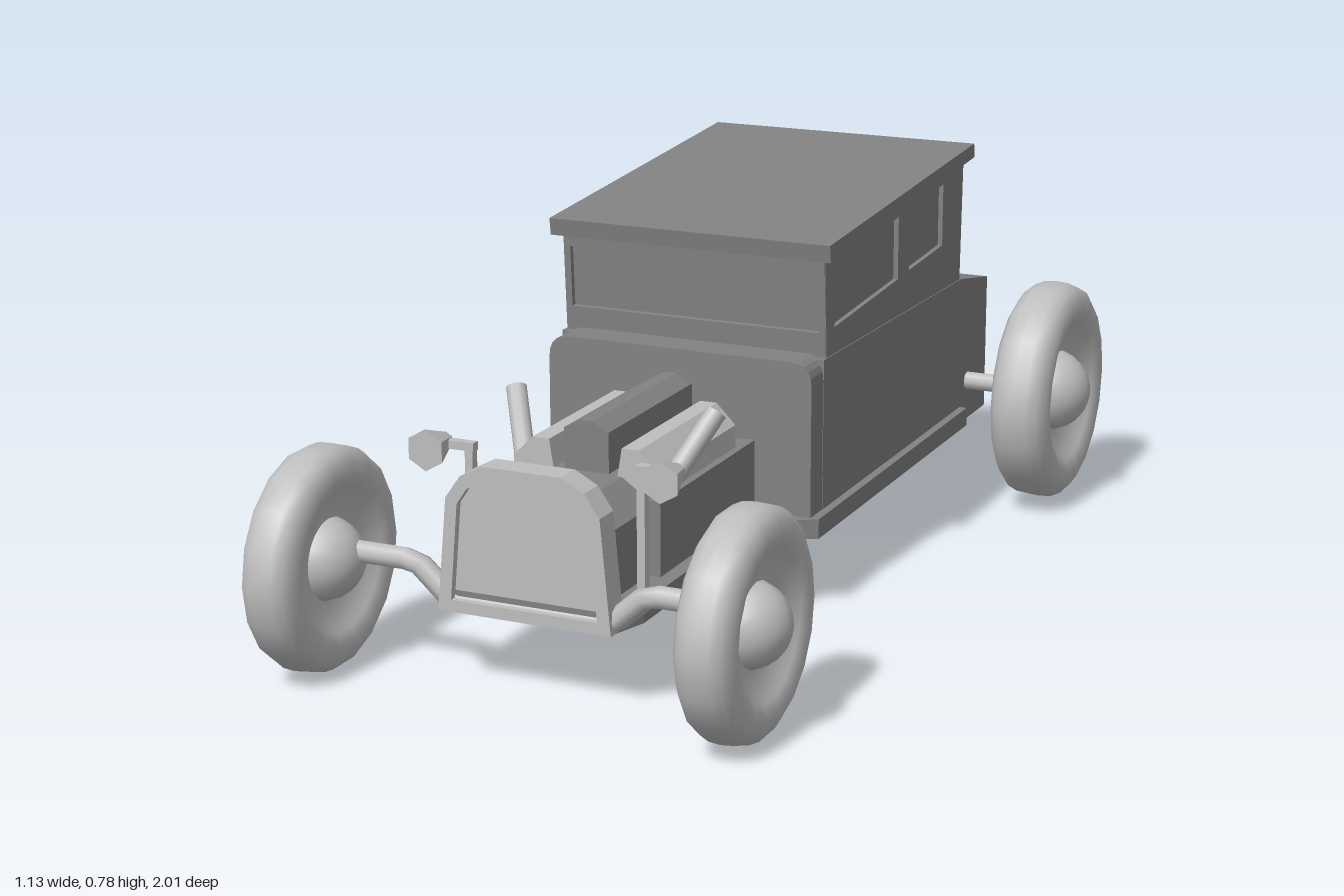
import * as THREE from 'three';

export function createModel() {
  const model = new THREE.Group();
  model.name = 'hotRod';
  const paint = new THREE.MeshStandardMaterial({ color: 0x828282 });
  paint.name = 'dark grey paint';
  const metal = new THREE.MeshStandardMaterial({ color: 0xbebebe });
  metal.name = 'light grey metal';

  const add = (name, geometry, material, x = 0, y = 0, z = 0) => {
    const mesh = new THREE.Mesh(geometry, material);
    mesh.name = name;
    mesh.position.set(x, y, z);
    model.add(mesh);
    return mesh;
  };
  const shapeOf = (points, holes = []) => {
    const toV = (list) => list.map((p) => new THREE.Vector2(p[0], p[1]));
    const shape = new THREE.Shape(toV(points));
    holes.forEach((h) => shape.holes.push(new THREE.Path(toV(h))));
    return shape;
  };
  const extrude = (shape, depth) =>
    new THREE.ExtrudeGeometry(shape, { depth, bevelEnabled: false, curveSegments: 5 });
  // Side profile in (z, y), running across from x0 to x1
  const sideExtrude = (points, x0, x1, holes) =>
    extrude(shapeOf(points, holes), x1 - x0).rotateY(-Math.PI / 2).translate(x1, 0, 0);
  // Half outline mirrored across x = 0
  const mirrored = (half) => [...half, ...half.map(([x, y]) => [-x, y]).reverse()];
  const rect = (x, y0, y1) => [[-x, y0], [x, y0], [x, y1], [-x, y1]];
  const tube = (points, radius, sides = 8) => {
    const path = new THREE.CurvePath();
    const v = points.map((p) => new THREE.Vector3(...p));
    for (let i = 1; i < v.length; i++) path.add(new THREE.LineCurve3(v[i - 1], v[i]));
    return new THREE.TubeGeometry(path, 24, radius, sides, false);
  };

  // Floor with sills, narrowing towards the nose
  const plan = mirrored([[0.302, -0.72], [0.302, 0.14], [0.195, 0.2], [0.195, 0.71], [0.17, 0.79]]);
  add('floorAndSills', extrude(shapeOf(plan), 0.04).rotateX(Math.PI / 2), paint, 0, 0.195, 0);

  // Lower body with sloping tail
  add('lowerBody', sideExtrude([
    [-0.885, 0.157], [0.08, 0.157], [0.08, 0.5], [-0.71, 0.487], [-0.885, 0.455],
  ], -0.285, 0.285), paint);

  // Cowl with rounded shoulders
  const cowl = new THREE.Shape();
  cowl.moveTo(-0.284, 0.157);
  cowl.lineTo(0.284, 0.157);
  cowl.lineTo(0.284, 0.46);
  cowl.quadraticCurveTo(0.284, 0.506, 0.24, 0.506);
  cowl.lineTo(-0.24, 0.506);
  cowl.quadraticCurveTo(-0.284, 0.506, -0.284, 0.46);
  add('cowl', extrude(cowl, 0.08), paint, 0, 0, 0.06);

  // Cabin core, seen through the window openings as glass
  add('windowGlass', sideExtrude([
    [0.05, 0.48], [0.063, 0.71], [-0.703, 0.76], [-0.695, 0.47],
  ], -0.273, 0.273), paint);

  // Side walls with two window openings each
  const wall = [[0.06, 0.48], [0.075, 0.715], [-0.715, 0.765], [-0.705, 0.47]];
  const windows = [
    [[0.022, 0.553], [0.028, 0.682], [-0.325, 0.703], [-0.325, 0.572]],
    [[-0.39, 0.577], [-0.39, 0.707], [-0.59, 0.72], [-0.59, 0.588]],
  ];
  add('leftCabinWall', sideExtrude(wall, 0.27, 0.283, windows), paint);
  add('rightCabinWall', sideExtrude(wall, -0.283, -0.27, windows), paint);

  // Windscreen and rear window frames
  const screen = add('windscreenFrame',
    extrude(shapeOf(rect(0.282, 0, 0.235), [rect(0.268, 0.07, 0.195)]), 0.012), paint, 0, 0.48, 0.05);
  screen.rotation.x = 0.06;
  const rear = add('rearWindowFrame',
    extrude(shapeOf(rect(0.282, 0, 0.285), [rect(0.26, 0.11, 0.25)]), 0.012), paint, 0, 0.48, -0.706);
  rear.rotation.x = -0.035;

  // Sloping roof
  add('roof', sideExtrude([
    [0.092, 0.698], [0.097, 0.733], [-0.727, 0.785], [-0.732, 0.755],
  ], -0.302, 0.302), paint);

  // Engine block and nose tunnel
  add('engineBlock', new THREE.BoxGeometry(0.33, 0.18, 0.44), paint, 0, 0.25, 0.355);
  add('noseTunnel', extrude(shapeOf(mirrored([
    [0.14, 0.17], [0.14, 0.325], [0.075, 0.37],
  ])), 0.62), paint, 0, 0, 0.14);
  add('intake', extrude(shapeOf(mirrored([
    [0.046, 0.33], [0.046, 0.45], [0.012, 0.468],
  ])), 0.37), paint, 0, 0, 0.175);

  // Grille shell and recessed panel
  const shellOutline = mirrored([[0.175, 0.157], [0.155, 0.375], [0.125, 0.418], [0.08, 0.442]]);
  const panelOutline = mirrored([[0.148, 0.18], [0.132, 0.365], [0.112, 0.395], [0.075, 0.418]]);
  add('grilleShell', extrude(shapeOf(shellOutline, [panelOutline]), 0.055), metal, 0, 0, 0.75);
  add('grillePanel', extrude(shapeOf(panelOutline), 0.04), metal, 0, 0, 0.75);

  // Axles
  const axle = [[0.4, 0.235, 0.775], [0.235, 0.235, 0.775], [0.16, 0.168, 0.775]];
  const axlePath = [...axle, ...axle.map(([x, y, z]) => [-x, y, z]).reverse()];
  add('frontAxle', tube(axlePath, 0.022), metal);
  add('rearAxle', new THREE.CylinderGeometry(0.02, 0.02, 0.86, 8).rotateZ(Math.PI / 2),
    metal, 0, 0.245, -0.765);

  // Wheels: dished tyre with a domed hub
  const addWheel = (name, x, y, z, R, w) => {
    const half = [[0, 0.3], [0.36, 0.35], [0.58, 0.6], [0.64, 0.85], [0.75, 1],
      [0.86, 0.97], [0.95, 0.75], [0.99, 0.42]];
    const profile = [...half.map(([r, h]) => [r, -h]), [1, 0], ...[...half].reverse()]
      .map(([r, h]) => new THREE.Vector2(r * R, h * w));
    add(name + 'Tyre', new THREE.LatheGeometry(profile, 18).rotateZ(Math.PI / 2), metal, x, y, z);
    const hub = new THREE.SphereGeometry(1, 18, 12).rotateZ(Math.PI / 2);
    add(name + 'Hub', hub.scale(w + 0.03, R * 0.38, R * 0.38), metal, x, y, z);
  };

  for (const s of [1, -1]) {
    const side = s > 0 ? 'left' : 'right';
    addWheel(side + 'FrontWheel', s * 0.43, 0.217, 0.79, 0.216, 0.055);
    addWheel(side + 'RearWheel', s * 0.472, 0.247, -0.765, 0.237, 0.063);

    // Cylinder head
    const head = [[0.06, 0.33], [0.15, 0.33], [0.15, 0.385], [0.11, 0.425], [0.075, 0.425]];
    const points = head.map(([x, y]) => [s * x, y]);
    add(side + 'CylinderHead', extrude(shapeOf(points), 0.35), metal, 0, 0, 0.2);

    // Exhaust stack with closed tip
    const from = new THREE.Vector3(s * 0.155, 0.365, 0.495);
    const to = new THREE.Vector3(s * 0.21, 0.478, 0.422);
    const stack = add(side + 'Exhaust',
      new THREE.CylinderGeometry(0.02, 0.02, from.distanceTo(to), 10), metal);
    stack.position.lerpVectors(from, to, 0.5);
    stack.quaternion.setFromUnitVectors(new THREE.Vector3(0, 1, 0), to.sub(from).normalize());

    // Six-sided headlight on its bracket
    const lamp = new THREE.CylinderGeometry(0.04, 0.014, 0.08, 6).rotateY(Math.PI / 6);
    add(side + 'Headlight', lamp.rotateX(Math.PI / 2).rotateZ(Math.PI / 6).toNonIndexed(), metal,
      s * 0.237, 0.432, 0.69).geometry.computeVertexNormals();
    add(side + 'HeadlightPost', new THREE.BoxGeometry(0.016, 0.26, 0.018), metal, s * 0.175, 0.31, 0.67);
    add(side + 'HeadlightArm', new THREE.BoxGeometry(0.07, 0.016, 0.018), metal, s * 0.2, 0.432, 0.67);
  }
  return model;
}
